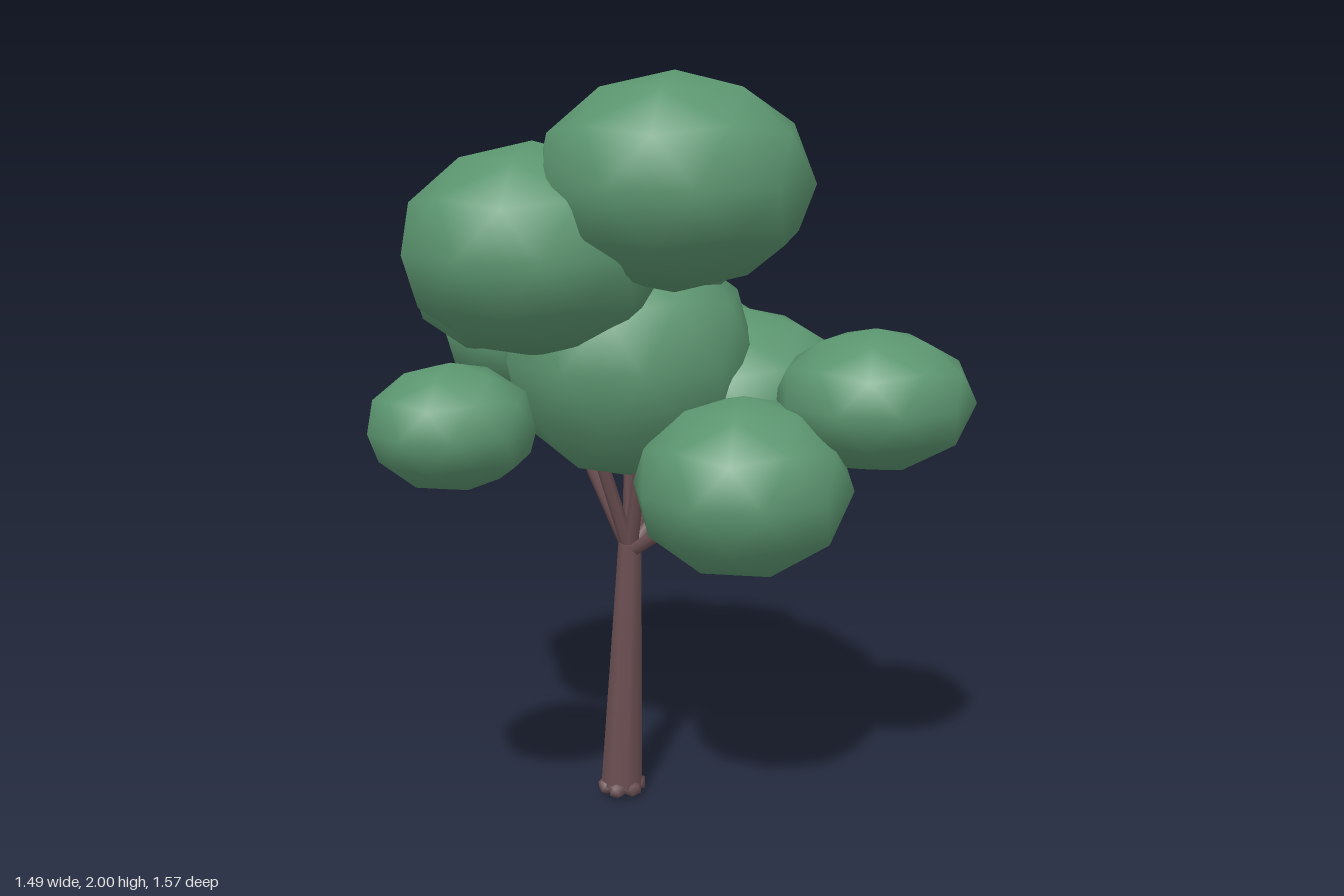
import * as THREE from 'three';
import { mergeVertices } from 'three/addons/utils/BufferGeometryUtils.js';

// Faceted ball with shared vertices (smooth shading) and a vertex at the top
function makeBall(detail) {
  const g = new THREE.IcosahedronGeometry(1, detail);
  g.deleteAttribute('normal');
  g.deleteAttribute('uv');
  const ball = mergeVertices(g, 1e-4);
  ball.rotateZ(-Math.atan(2 / (1 + Math.sqrt(5))));
  ball.computeVertexNormals();
  return ball;
}

// Tapered limb between two points
function limb(name, from, to, r0, r1, sides, material) {
  const dir = to.clone().sub(from);
  const mesh = new THREE.Mesh(new THREE.CylinderGeometry(r1, r0, dir.length(), sides), material);
  mesh.name = name;
  mesh.position.copy(from).addScaledVector(dir, 0.5);
  mesh.quaternion.setFromUnitVectors(new THREE.Vector3(0, 1, 0), dir.normalize());
  return mesh;
}

export function createModel() {
  const tree = new THREE.Group();
  tree.name = 'tree';
  const leaf = new THREE.MeshStandardMaterial({ color: 0x5c9670 });
  leaf.name = 'leaf green';
  const bark = new THREE.MeshStandardMaterial({ color: 0x6b4f52 });
  bark.name = 'bark brown';

  // Trunk
  const base = new THREE.Vector3(-0.175, 0.03, -0.04);
  const fork = new THREE.Vector3(-0.15, 0.74, -0.05);
  tree.add(limb('trunk', base, fork, 0.06, 0.033, 8, bark));

  // Root lumps around the foot of the trunk
  const lump = makeBall(0);
  for (let i = 0; i < 6; i++) {
    const a = (i / 6) * Math.PI * 2 + 0.3;
    const root = new THREE.Mesh(lump, bark);
    root.name = 'root';
    root.position.set(base.x + 0.043 * Math.cos(a), 0.028, base.z + 0.043 * Math.sin(a));
    root.scale.set(0.028, 0.028, 0.028);
    root.rotation.y = -a;
    tree.add(root);
  }

  // Foliage: name, centre x y z, horizontal radius, vertical radius, has branch
  const clumps = [
    ['crownTop', 0.08, 1.73, 0.12, 0.35, 0.27, true],
    ['crownFront', -0.26, 1.56, 0.235, 0.345, 0.27, true],
    ['crownBack', -0.155, 1.625, -0.075, 0.345, 0.27, true],
    ['crownCore', -0.15, 1.26, -0.05, 0.345, 0.33, true],
    ['lowerBack', 0.06, 1.105, -0.3, 0.34, 0.27, true],
    ['rearClump', -0.19, 1.205, -0.445, 0.255, 0.215, true],
    ['sideUpper', -0.49, 1.46, 0.025, 0.265, 0.21, true],
    ['sideLower', -0.485, 1.3, -0.125, 0.27, 0.21, true],
    ['lowerFront', 0.24, 0.965, 0.05, 0.285, 0.235, true],
    ['outerSide', 0.5, 1.175, -0.185, 0.26, 0.185, false],
    ['outerFront', -0.28, 1.165, 0.575, 0.208, 0.155, false],
    ['outerBack', -0.535, 1.13, -0.57, 0.215, 0.165, false],
  ];
  const ball = makeBall(1);
  const start = fork.clone().setY(0.715);
  for (const [name, x, y, z, r, h, hasBranch] of clumps) {
    const clump = new THREE.Mesh(ball, leaf);
    clump.name = name;
    clump.position.set(x, y, z);
    clump.scale.set(r, h, r);
    tree.add(clump);
    // Branch from the fork into the clump
    if (hasBranch) tree.add(limb('branch', start, clump.position, 0.02, 0.012, 6, bark));
  }
  return tree;
}
